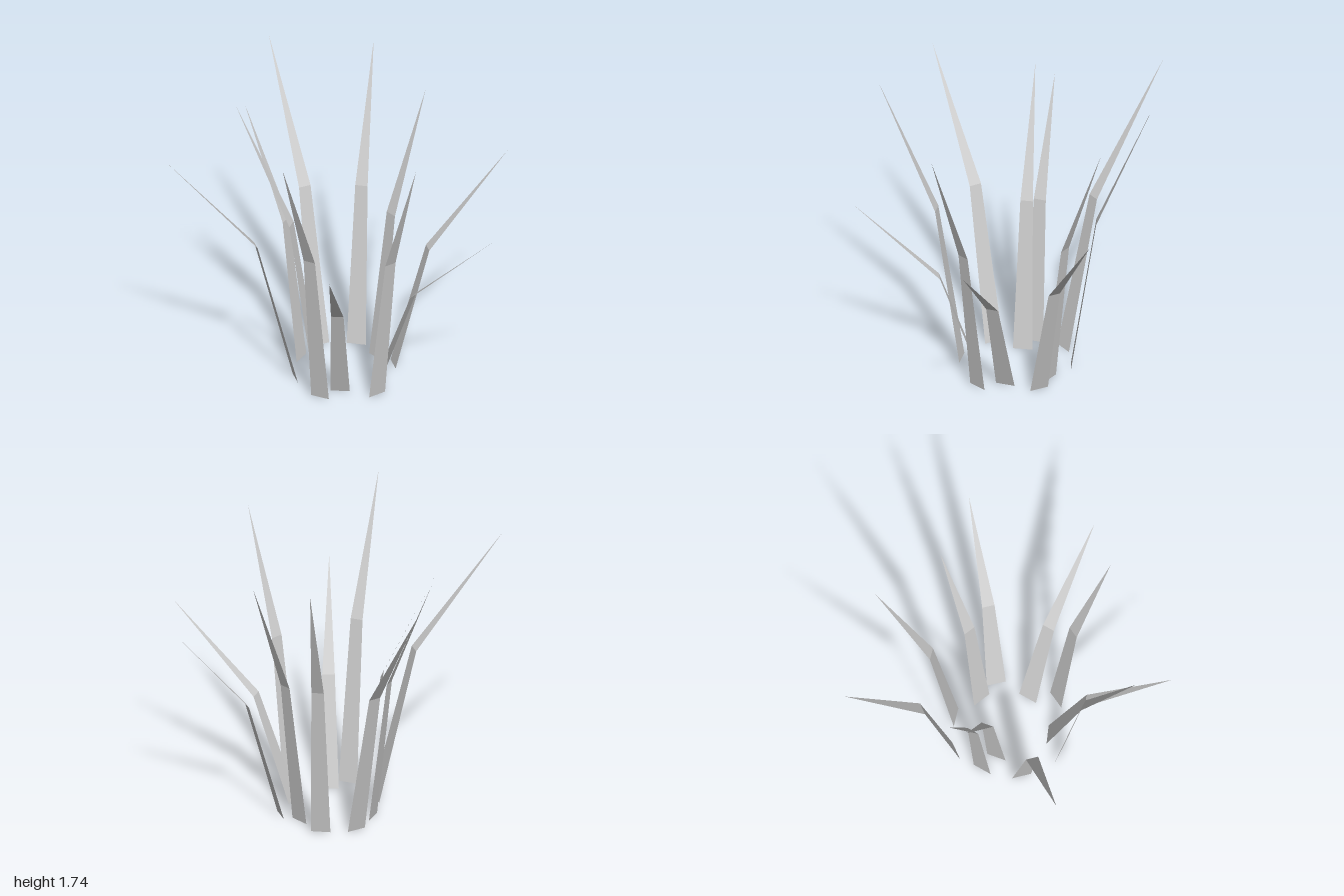
import * as THREE from 'three';

const BASE_WIDTH = 0.11;
const MID_WIDTH = 0.071;

// Each blade: centre of base [x, z], centre of bend [x, y, z], tip [x, y, z]
const BLADES = [
  [[0.003, -0.25], [-0.028, 0.92, -0.455], [-0.10, 1.65, -0.93]],
  [[0.198, -0.2], [0.265, 0.95, -0.325], [0.42, 1.72, -0.61]],
  [[0.262, -0.034], [0.365, 0.89, -0.078], [0.60, 1.605, -0.185]],
  [[0.335, 0.07], [0.535, 0.73, 0.077], [1.0, 1.295, 0.087]],
  [[0.205, 0.217], [0.363, 0.62, 0.38], [0.725, 1.115, 0.745]],
  [[0.155, 0.367], [0.2, 0.905, 0.48], [0.28, 1.635, 0.72]],
  [[-0.033, 0.27], [-0.108, 0.61, 0.472], [-0.287, 1.11, 0.925]],
  [[-0.16, 0.305], [-0.255, 0.96, 0.415], [-0.485, 1.74, 0.667]],
  [[-0.235, 0.065], [-0.465, 0.905, 0.065], [-1.0, 1.545, 0.063]],
  [[-0.09, -0.042], [-0.202, 0.89, -0.124], [-0.47, 1.595, -0.315]],
  [[-0.14, -0.138], [-0.21, 0.87, -0.211], [-0.395, 1.55, -0.40]],
];

// A flat tapering strip, bent once and ending in a point
function bladeGeometry([bx, bz], mid, tip) {
  const base = new THREE.Vector3(bx, 0, bz);
  const bend = new THREE.Vector3(...mid);
  const end = new THREE.Vector3(...tip);
  // Horizontal direction across the blade
  const side = new THREE.Vector3(end.z - bz, 0, bx - end.x).normalize();
  const points = [
    base.clone().addScaledVector(side, -BASE_WIDTH / 2),
    base.clone().addScaledVector(side, BASE_WIDTH / 2),
    bend.clone().addScaledVector(side, -MID_WIDTH / 2),
    bend.clone().addScaledVector(side, MID_WIDTH / 2),
    end,
  ];
  const geometry = new THREE.BufferGeometry().setFromPoints(points);
  geometry.setIndex([0, 1, 3, 0, 3, 2, 2, 3, 4]);
  const flat = geometry.toNonIndexed();
  flat.computeVertexNormals();
  return flat;
}

export function createModel() {
  const group = new THREE.Group();
  group.name = 'grassTuft';
  const material = new THREE.MeshStandardMaterial({
    color: 0xcccccc, flatShading: true, side: THREE.DoubleSide,
  });
  // Ring of blades leaning outward
  BLADES.forEach((blade, i) => {
    const mesh = new THREE.Mesh(bladeGeometry(...blade), material);
    mesh.name = `grassBlade${i + 1}`;
    group.add(mesh);
  });
  return group;
}
